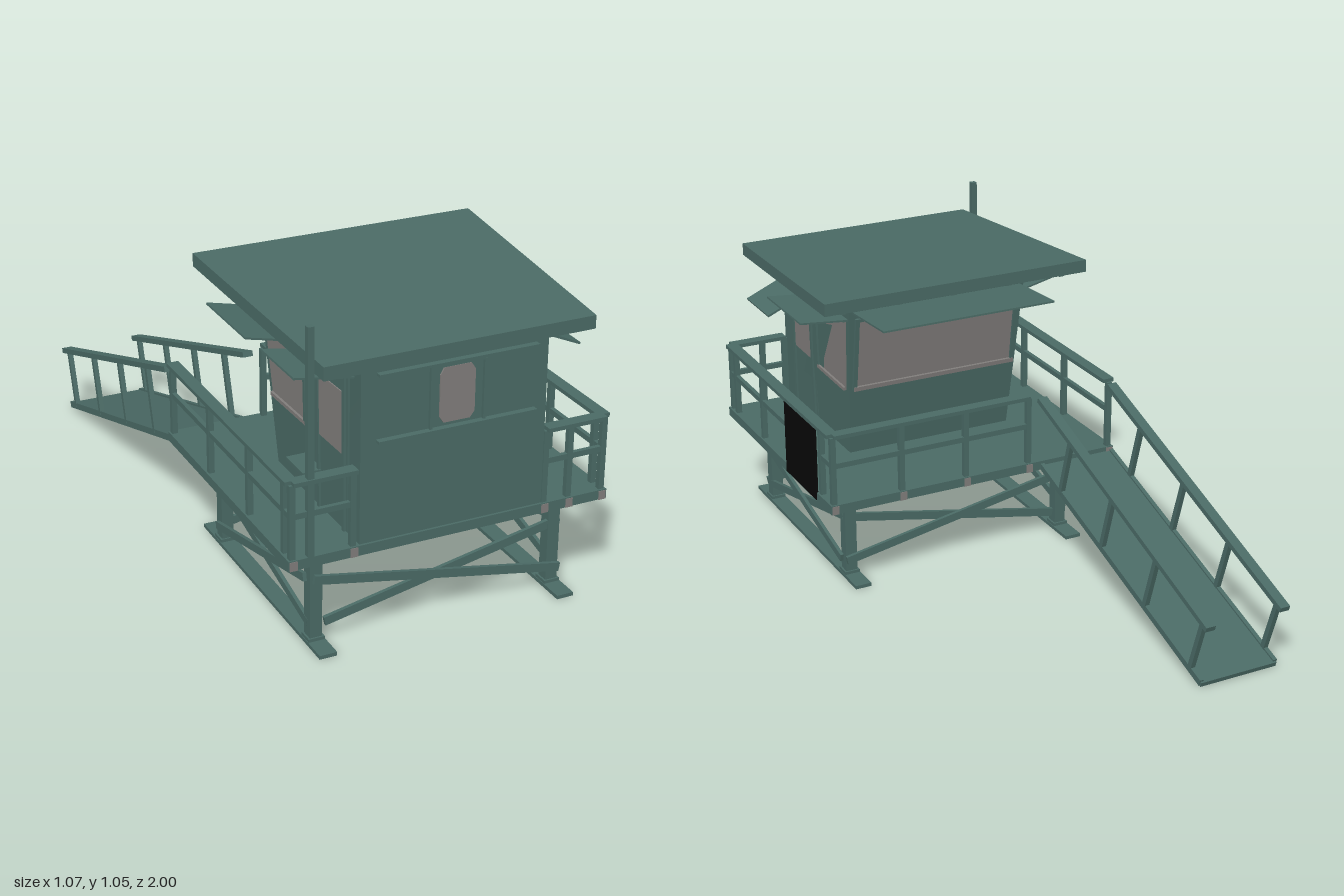
import * as THREE from 'three';

export function createModel() {
  const model = new THREE.Group();
  const paint = new THREE.MeshStandardMaterial({ color: 0x4a6a65 });
  paint.name = 'sea green paint';
  const grey = new THREE.MeshStandardMaterial({ color: 0x807d7b });
  grey.name = 'grey glass and metal';
  const black = new THREE.MeshStandardMaterial({ color: 0x080808 });
  black.name = 'black panel';

  const lerp = THREE.MathUtils.lerp;
  const add = (name, geo, mat = paint) => {
    const m = new THREE.Mesh(geo, mat);
    m.name = name;
    model.add(m);
    return m;
  };
  // Box given by its limits
  const block = (name, x0, x1, y0, y1, z0, z1, mat) =>
    add(name, new THREE.BoxGeometry(x1 - x0, y1 - y0, z1 - z0), mat)
      .position.set((x0 + x1) / 2, (y0 + y1) / 2, (z0 + z1) / 2);
  // Bar of section w x h running from a to b
  const beam = (name, a, b, w, h, mat) => {
    const p = new THREE.Vector3(...a), q = new THREE.Vector3(...b);
    const m = add(name, new THREE.BoxGeometry(w, h, p.distanceTo(q)), mat);
    m.position.copy(p).add(q).multiplyScalar(0.5);
    m.lookAt(q);
  };
  // Unit box whose corners are moved by a rule; u, v, w run 0..1 along x, y, z
  const warp = (name, rule, mat) => {
    const geo = new THREE.BoxGeometry(1, 1, 1), p = geo.attributes.position;
    for (let i = 0; i < p.count; i++)
      p.setXYZ(i, ...rule(p.getX(i) + 0.5, p.getY(i) + 0.5, p.getZ(i) + 0.5));
    geo.computeVertexNormals();
    add(name, geo, mat);
  };

  // Skids, legs and cross beams with bevelled ends
  const legX = 0.4, legZ = [0.865, 0.205];
  for (const s of [-1, 1]) {
    block('skid', s * legX - 0.028, s * legX + 0.028, 0, 0.012, 0.09, 0.97);
    for (const z of legZ) {
      block('leg', s * legX - 0.02, s * legX + 0.02, 0.01, 0.3, z - 0.02, z + 0.02);
      block('legFoot', s * legX - 0.026, s * legX + 0.026, 0.01, 0.022, z - 0.026, z + 0.026);
    }
    // Side cross braces
    beam('sideBrace', [s * 0.427, 0.22, legZ[0]], [s * 0.427, 0.065, legZ[1]], 0.012, 0.026);
    beam('sideBrace', [s * 0.415, 0.065, legZ[0]], [s * 0.415, 0.22, legZ[1]], 0.012, 0.026);
  }
  legZ.forEach((z, i) => {
    const d = i ? -1 : 1;
    beam('crossBrace', [-0.41, 0.22, z + d * 0.027], [0.42, 0.065, z + d * 0.027], 0.012, 0.028);
    beam('crossBrace', [-0.37, 0.065, z + d * 0.012], [0.41, 0.22, z + d * 0.012], 0.012, 0.028);
    warp('floorBeam', (u, v, w) => [(u * 2 - 1) * lerp(0.44, 0.5, v), lerp(0.262, 0.316, v), z + (w - 0.5) * 0.045]);
  });

  // Deck
  block('deck', -0.525, 0.525, 0.315, 0.346, 0.045, 0.97);

  // Railings: start, end, and post positions as fractions along each run
  const runs = [
    [[-0.51, 0.955], [-0.31, 0.955], [0, 0.95]],
    [[0.31, 0.955], [0.51, 0.955], [0, 0.42, 1]],
    [[-0.51, 0.955], [-0.51, 0.06], [0.05, 0.33, 0.66, 1]],
    [[0.51, 0.955], [0.51, 0.06], [0.05, 0.33, 0.6, 0.9, 1]],
    [[-0.2, 0.06], [0.51, 0.06], [0, 0.33, 0.66]],
  ];
  for (const [a, b, posts] of runs) {
    beam('topRail', [a[0], 0.585, a[1]], [b[0], 0.585, b[1]], 0.04, 0.013);
    beam('midRail', [a[0], 0.48, a[1]], [b[0], 0.48, b[1]], 0.014, 0.018);
    for (const t of posts) {
      const x = lerp(a[0], b[0], t), z = lerp(a[1], b[1], t);
      block('railPost', x - 0.009, x + 0.009, 0.32, 0.58, z - 0.009, z + 0.009);
      block('postBracket', x - 0.012, x + 0.012, 0.314, 0.343, z - 0.017, z + 0.017, grey);
    }
  }
  block('railPanel', 0.52, 0.528, 0.32, 0.59, 0.165, 0.42, black);

  // Flag pole
  block('pole', -0.465, -0.445, 0.32, 1.05, 0.95, 0.97);

  // Cabin: back wall leans out, side walls flare towards the top back
  const frontZ = 0.962, floorY = 0.345;
  const roofY = z => lerp(0.897, 0.946, (1 - z) / 0.83);
  const backZ = y => lerp(0.405, 0.32, (y - floorY) / 0.59);
  const sideX = (z, y) => 0.3 + 0.026 * ((frontZ - z) / (frontZ - backZ(y))) * ((y - floorY) / 0.59);
  warp('cabin', (u, v, w) => {
    const y = v ? roofY(w ? frontZ : 0.32) : floorY;
    const z = w ? frontZ : backZ(y);
    return [(u * 2 - 1) * sideX(z, y), y, z];
  });

  // Roof slab, wider and higher at the back
  warp('roof', (u, v, w) => {
    const z = w ? 0.999 : 0.168;
    return [(u * 2 - 1) * (w ? 0.432 : 0.475), roofY(z) + v * 0.042, z];
  });
  for (const x of [-0.4, -0.2, 0, 0.2, 0.4])
    beam('rafter', [x, roofY(0.94) - 0.006, 0.94], [x, roofY(0.2) - 0.006, 0.2], 0.018, 0.014);

  // Plates lying on a side wall or the back wall
  const sidePlate = (name, s, z0, z1, y0, y1, t, mat) => warp(name, (u, v, w) => {
    const y = lerp(y0, y1, v), back = z0 === null ? backZ(y) + 0.025 : z0;
    const z = lerp(back, z1, w);
    return [s * sideX(z, y) + (u - 0.5) * t, y, z];
  }, mat);
  const backPlate = (name, x0, x1, y0, y1, t, mat) => warp(name, (u, v, w) => {
    const y = lerp(y0, y1, v);
    return [lerp(x0, x1, u), y, backZ(y) + (w - 0.5) * t];
  }, mat);

  for (const s of [-1, 1]) {
    // Side window with frame
    sidePlate('sideWindow', s, null, 0.625, 0.59, 0.84, 0.008, grey);
    sidePlate('windowSill', s, null, 0.632, 0.582, 0.594, 0.024, grey);
    sidePlate('windowHead', s, null, 0.632, 0.84, 0.85, 0.024);
    sidePlate('windowJamb', s, 0.622, 0.634, 0.582, 0.85, 0.024);
    // Door with pane
    const z0 = s > 0 ? 0.685 : 0.71, z1 = z0 + 0.165;
    sidePlate('door', s, z0 - 0.018, z1 + 0.018, 0.35, 0.85, 0.008);
    sidePlate('doorPane', s, z0, z1, 0.59, 0.785, 0.014, grey);
    for (const z of [z0, z1]) sidePlate('doorJamb', s, z - 0.007, z + 0.007, 0.35, 0.85, 0.022);
    // Raised shutter over the window
    const tipY = s > 0 ? 0.867 : 0.893;
    beam('sideAwning', [s * 0.315, 0.85, 0.485], [s * (s > 0 ? 0.49 : 0.503), tipY, 0.485], 0.29, 0.006);
  }
  beam('doorAwning', [0.315, 0.857, 0.757], [0.478, 0.786, 0.757], 0.195, 0.007);
  beam('doorAwning', [-0.305, 0.857, 0.82], [-0.49, 0.887, 0.82], 0.22, 0.006);
  block('sideShelf', -0.365, -0.3, 0.465, 0.475, 0.6, 0.72);

  // Back window with frame and shutter
  backPlate('backWindow', -0.29, 0.29, 0.6, 0.845, 0.008, grey);
  backPlate('windowSill', -0.3, 0.3, 0.588, 0.603, 0.03, grey);
  backPlate('windowHead', -0.3, 0.3, 0.845, 0.856, 0.024);
  for (const x of [-0.295, 0.295]) backPlate('windowJamb', x - 0.007, x + 0.007, 0.59, 0.856, 0.024);
  beam('backAwning', [0, 0.878, 0.33], [0, 0.894, 0.085], 0.62, 0.006);

  // Front window: clipped pane, frame and long ledges
  const pane = new THREE.Shape([
    [-0.04, 0.68], [0.045, 0.68], [0.06, 0.7], [0.06, 0.83], [0.045, 0.852],
    [-0.04, 0.852], [-0.053, 0.83], [-0.053, 0.7],
  ].map(p => new THREE.Vector2(...p)));
  add('frontWindow', new THREE.ExtrudeGeometry(pane, { depth: 0.006, bevelEnabled: false }), grey)
    .position.z = 0.961;
  for (const x of [-0.082, 0.09]) block('frontWindowJamb', x - 0.004, x + 0.004, 0.668, 0.86, 0.96, 0.972);
  block('frontWindowHead', -0.082, 0.09, 0.855, 0.861, 0.96, 0.972);
  for (const y of [0.665, 0.87]) block('frontLedge', -0.252, 0.26, y - 0.004, y + 0.004, 0.96, 0.982);

  // Ramp: deck, side rails and square-set posts
  const rampY = z => 0.325 + (z - 0.055) * 0.31;
  const railY = z => 0.568 + (z - 0.055) * 0.335;
  beam('rampDeck', [-0.383, rampY(0.06), 0.06], [-0.383, rampY(-0.965), -0.965], 0.275, 0.016);
  for (const x of [-0.518, -0.25]) {
    beam('rampEdge', [x, rampY(0.055) + 0.003, 0.055], [x, rampY(-0.96) + 0.003, -0.96], 0.014, 0.022);
    beam('rampRail', [x, railY(0.055), 0.055], [x, railY(-0.995), -0.995], 0.034, 0.018);
    for (let i = 0; i < 4; i++) {
      const z = -0.085 - i * 0.271;
      beam('rampPost', [x, rampY(z), z], [x, railY(z - 0.063), z - 0.063], 0.016, 0.018);
    }
  }
  return model;
}
